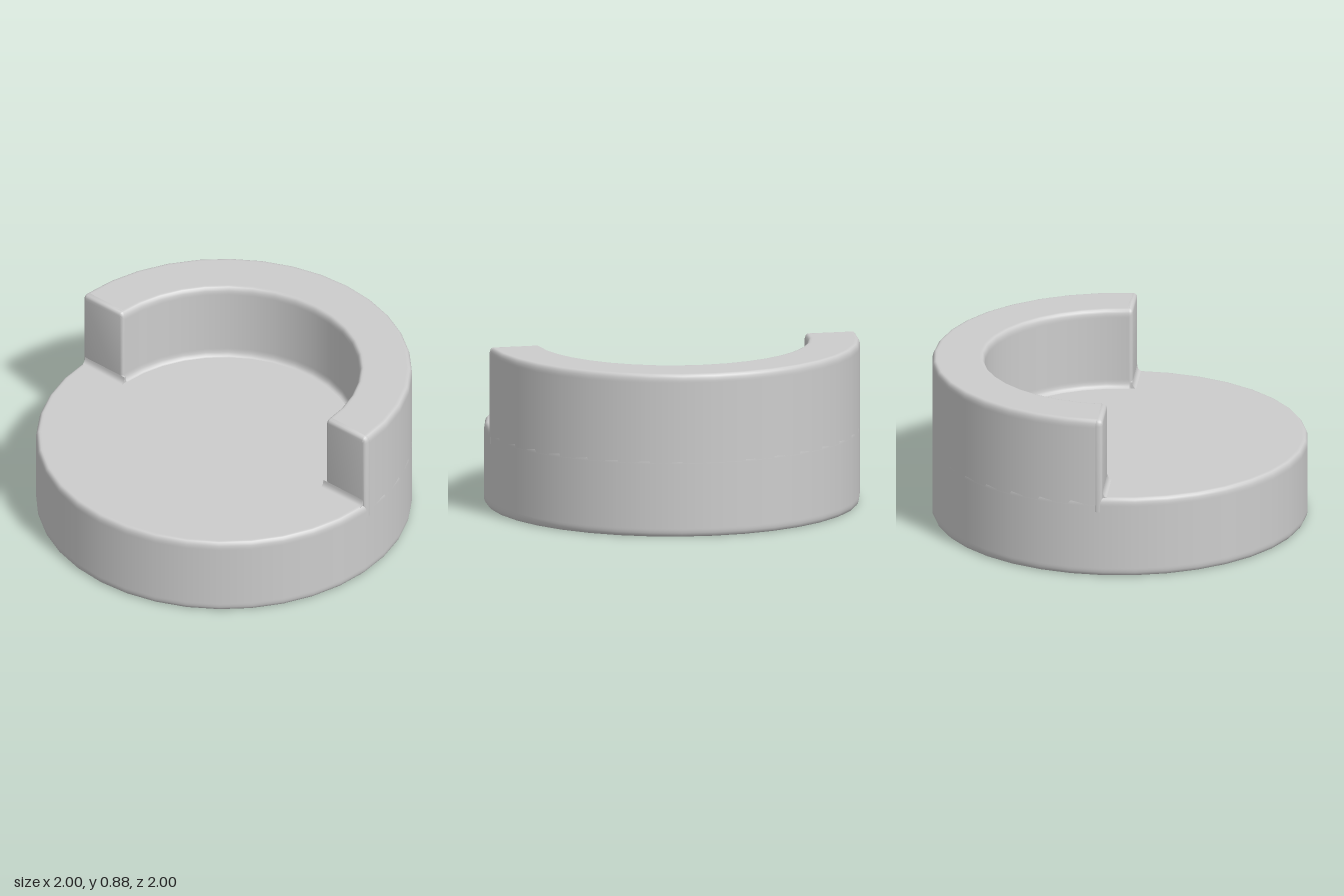
import * as THREE from 'three';
import { toCreasedNormals } from 'three/addons/utils/BufferGeometryUtils.js';

const SEAT = 0.44, TOP = 0.88, INNER = 0.72;
const BX = 0.02, BY = 0.035; // edge rounding across and up

// Quarter-ellipse points about (cx, cy), from angle a to b in degrees
function corner(cx, cy, a, b, steps = 4) {
  const pts = [];
  for (let i = 0; i <= steps; i++) {
    const t = THREE.MathUtils.degToRad(a + ((b - a) * i) / steps);
    pts.push(new THREE.Vector2(cx + BX * Math.cos(t), cy + BY * Math.sin(t)));
  }
  return pts;
}
const p = (x, y) => new THREE.Vector2(x, y);

export function createModel() {
  const group = new THREE.Group();
  const grey = new THREE.MeshStandardMaterial({ color: 0xcccccc });
  grey.name = 'light grey upholstery';
  const add = (name, geometry) => {
    const mesh = new THREE.Mesh(geometry, grey);
    mesh.name = name;
    group.add(mesh);
    return mesh;
  };

  // Round seat with softened rims; support points keep the flats flat
  add('seat', new THREE.LatheGeometry([
    p(0, 0), p(0.97, 0), ...corner(1 - BX, BY, -90, 0),
    p(1, BY + 0.01), p(1, SEAT - BY - 0.01),
    ...corner(1 - BX, SEAT - BY, 0, 90), p(0.97, SEAT), p(0, SEAT),
  ], 36));

  // Half-ring backrest with a fillet where it meets the seat
  const gap = 0.024;
  add('backrest', new THREE.LatheGeometry([
    p(1, SEAT - BY - 0.005), p(1, TOP - BY - 0.01),
    ...corner(1 - BX, TOP - BY, 0, 90), p(0.97, TOP), p(INNER + 0.03, TOP),
    ...corner(INNER + BX, TOP - BY, 90, 180), p(INNER, TOP - BY - 0.01),
    p(INNER, SEAT + BY + 0.01), ...corner(INNER - BX, SEAT + BY, 0, -90),
  ], 18, Math.PI / 2 + gap, Math.PI - 2 * gap));

  // Rounded ends of the backrest
  const endShape = new THREE.Shape([
    p(INNER, 0.36), p(1, 0.36),
    ...corner(1 - BX, TOP - BY, 0, 90),
    ...corner(INNER + BX, TOP - BY, 90, 180),
  ]);
  const endGeo = toCreasedNormals(new THREE.ExtrudeGeometry(endShape, {
    depth: 0.01, bevelEnabled: true, bevelThickness: 0.02,
    bevelSize: 0.018, bevelOffset: -0.018, bevelSegments: 3,
  }).translate(0, 0, -0.03), 0.7);

  // Concave fillet at the foot of each end, swept along x
  const filletShape = new THREE.Shape([
    p(-0.01, SEAT - 0.01), p(BX, SEAT - 0.01),
    ...corner(BX, SEAT + BY, 270, 180), p(-0.01, SEAT + BY),
  ]);
  const filletGeo = toCreasedNormals(new THREE.ExtrudeGeometry(filletShape, {
    depth: 0.98 - INNER + BX, bevelEnabled: false,
  }).rotateY(-Math.PI / 2).translate(0.985, 0, 0), 0.7);

  for (const [side, s] of [['left', 1], ['right', -1]]) {
    const end = add(side + 'BackrestEnd', endGeo);
    const fillet = add(side + 'EndFillet', filletGeo);
    end.scale.x = fillet.scale.x = s;
  }
  return group;
}
